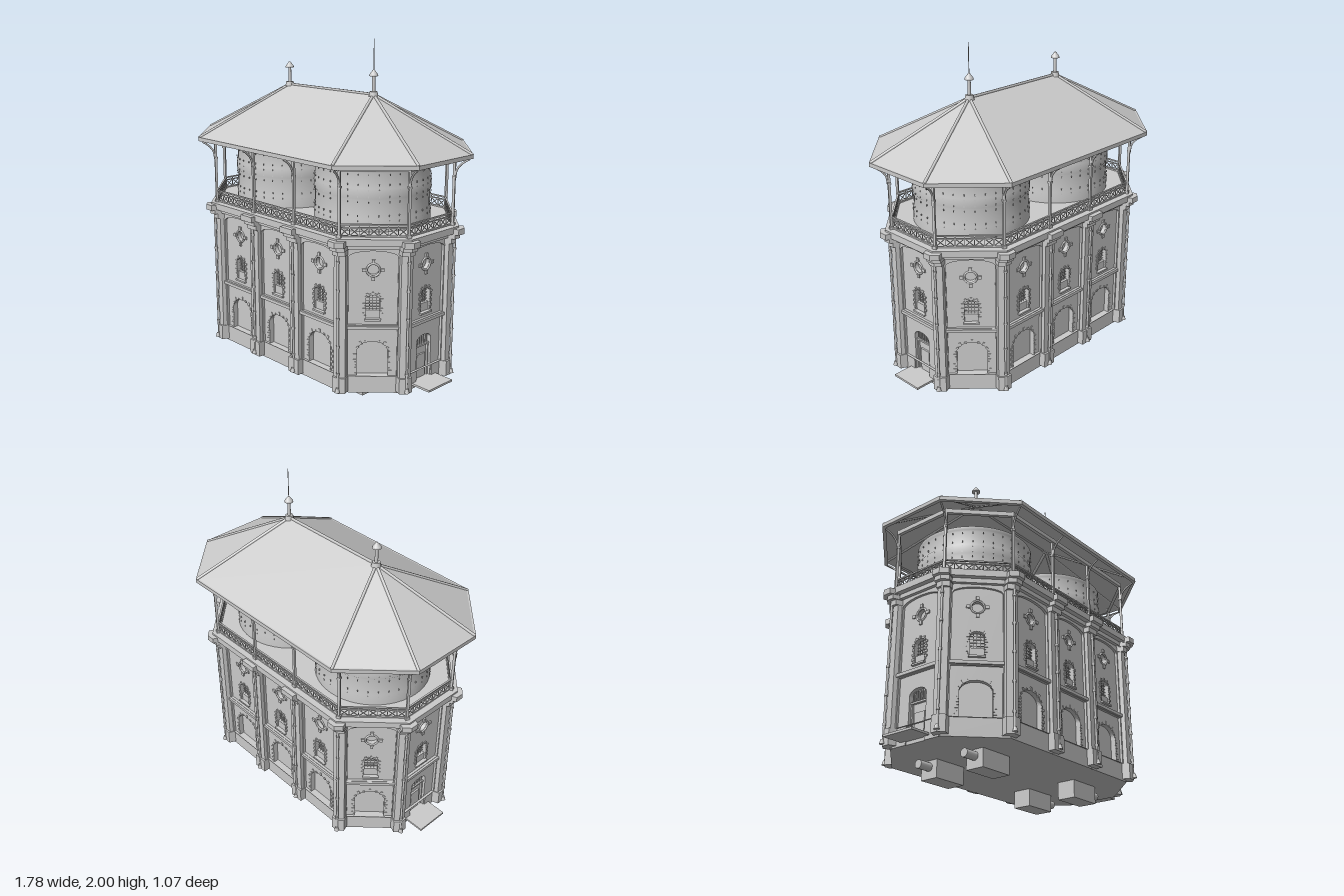
import * as THREE from 'three';
import { mergeGeometries } from 'three/addons/utils/BufferGeometryUtils.js';

const HALF = 0.352, BAY = 0.35, E = Math.PI / 8;
const grey = new THREE.MeshStandardMaterial({ color: 0xcccccc });
const thin = new THREE.MeshStandardMaterial({ color: 0xcccccc, side: THREE.DoubleSide });

const merge = (list) => mergeGeometries(list.map((g) => (g.index ? g.toNonIndexed() : g)));
const mesh = (name, geo, mat = grey) => {
  const m = new THREE.Mesh(Array.isArray(geo) ? merge(geo) : geo, mat);
  m.name = name;
  return m;
};
const box = (w, h, d, x, y, z) => new THREE.BoxGeometry(w, h, d).translate(x, y, z);
const cyl = (r0, r1, y0, y1, x, z, n = 12) =>
  new THREE.CylinderGeometry(r1, r0, y1 - y0, n).translate(x, (y0 + y1) / 2, z);
// flat bar between two points of a wall plane
const bar = (x0, y0, x1, y1, z, t) =>
  new THREE.BoxGeometry(Math.hypot(x1 - x0, y1 - y0), t, t)
    .rotateZ(Math.atan2(y1 - y0, x1 - x0)).translate((x0 + x1) / 2, (y0 + y1) / 2, z);
const extrude = (shape, depth) =>
  new THREE.ExtrudeGeometry(shape, { depth, bevelEnabled: false, curveSegments: 12 });
const upright = (shape, y0, y1) => extrude(shape, y1 - y0).rotateX(-Math.PI / 2).translate(0, y0, 0);
const rod = (a, b, r) => new THREE.TubeGeometry(new THREE.LineCurve3(a, b), 1, r, 6);

// stretched octagon, "a" is the distance of each face from its centre
const octagon = (a) => Array.from({ length: 8 }, (_, i) => {
  const p = E + i * 2 * E, r = a / Math.cos(E);
  return new THREE.Vector2((i < 4 ? HALF : -HALF) + r * Math.sin(p), r * Math.cos(p));
});
const slab = (a, y0, y1, hole) => {
  const s = new THREE.Shape(octagon(a));
  if (hole) s.holes.push(new THREE.Path(octagon(hole)));
  return upright(s, y0, y1);
};
const arched = (hw, y0, spring, rise, Kind = THREE.Path) => {
  const p = new Kind();
  p.moveTo(-hw, y0);
  p.lineTo(hw, y0);
  p.lineTo(hw, spring);
  p.absellipse(0, spring, hw, rise, 0, Math.PI, false);
  p.closePath();
  return p;
};
const rectangle = (hw, y0, y1) => new THREE.Shape(
  [[-hw, y0], [hw, y0], [hw, y1], [-hw, y1]].map((p) => new THREE.Vector2(...p)));

// alternating stones around an arched opening
function quoins(hw, y0, spring, rise, z, s) {
  const out = [], rows = Math.round((spring - y0) / (s * 1.2));
  for (let i = 0; i < rows; i++) for (const k of [-1, 1]) {
    const w = i % 2 ? s * 1.5 : s * 0.8;
    out.push(box(w, s, 0.012, k * (hw + w / 2), y0 + (i + 0.5) * (spring - y0) / rows, z));
  }
  for (let i = 0; i <= 6; i++) {
    const t = Math.PI * (0.08 + 0.14 * i);
    const len = i % 2 ? s * 1.5 : s * 0.8;
    out.push(new THREE.BoxGeometry(s * 0.9, len, 0.012).rotateZ((t - Math.PI / 2) * 0.6)
      .translate(hw * Math.cos(t), spring + rise * Math.sin(t) + len / 2, z));
  }
  return out;
}

function makeBay(isDoor) {
  const g = new THREE.Group();
  g.name = isDoor ? 'doorBay' : 'wallBay';
  // wall with openings, then the raised surround of the two panels
  const opening = isDoor ? [0.06, 0.13, 0.36, 0.035] : [0.085, 0.2, 0.345, 0.055];
  const wall = rectangle(0.166, 0.1, 0.97);
  wall.holes.push(arched(...opening), arched(0.037, 0.53, 0.65, 0.018),
    new THREE.Path().absarc(0, 0.81, 0.033, 0, Math.PI * 2));
  g.add(mesh('wall', extrude(wall, 0.03).translate(0, 0, 0.38)));
  const frame = rectangle(0.168, 0.2, 0.96);
  frame.holes.push(arched(0.133, 0.5, 0.885, 0.035), arched(0.133, 0.201, 0.475, 0.001));
  g.add(mesh('panelFrame', extrude(frame, 0.015).translate(0, 0, 0.41)));
  const trim = [box(0.28, 0.018, 0.035, 0, 0.488, 0.42)];
  if (!isDoor) trim.push(box(0.34, 0.1, 0.016, 0, 0.15, 0.41));
  else for (const k of [-1, 1]) trim.push(box(0.1, 0.1, 0.016, k * 0.115, 0.15, 0.41));
  g.add(mesh('stringCourseAndPlinth', trim));

  // round window with four keystones
  const eye = [new THREE.TorusGeometry(0.035, 0.006, 6, 24).translate(0, 0.81, 0.411)];
  for (let i = 0; i < 4; i++) {
    const t = i * Math.PI / 2;
    eye.push(new THREE.BoxGeometry(0.02, 0.018, 0.014).rotateZ(t)
      .translate(0.05 * Math.cos(t), 0.81 + 0.05 * Math.sin(t), 0.411));
  }
  g.add(mesh('roundWindow', eye));

  // barred window
  const win = [box(0.074, 0.05, 0.022, 0, 0.555, 0.392), box(0.09, 0.01, 0.022, 0, 0.528, 0.414)];
  for (let i = -1; i <= 1; i++) win.push(box(0.003, 0.085, 0.004, i * 0.018, 0.622, 0.39));
  for (let i = 0; i < 4; i++) win.push(box(0.072, 0.003, 0.004, 0, 0.595 + i * 0.018, 0.39));
  win.push(...quoins(0.037, 0.54, 0.65, 0.018, 0.409, 0.012));
  g.add(mesh('barredWindow', win));

  if (isDoor) {
    const d = [box(0.07, 0.14, 0.012, 0, 0.2, 0.386), box(0.12, 0.01, 0.016, 0, 0.325, 0.39),
      box(0.2, 0.012, 0.15, 0, 0.126, 0.465)];
    for (let i = -3; i <= 3; i++) d.push(box(0.004, 0.06, 0.008, i * 0.016, 0.356, 0.388));
    for (const k of [-1, 1]) d.push(box(0.008, 0.19, 0.012, k * 0.056, 0.225, 0.388));
    g.add(mesh('doorAndStep', d));
  } else {
    g.add(mesh('blindArchStones', quoins(0.085, 0.2, 0.345, 0.055, 0.408, 0.014)));
  }

  // lattice railing
  const rail = [box(0.36, 0.008, 0.01, 0, 1.068, 0.435), box(0.36, 0.006, 0.008, 0, 1.052, 0.435),
    box(0.36, 0.008, 0.01, 0, 1.005, 0.435)];
  const n = 7, w = 0.36 / n;
  for (let i = 0; i < n; i++) {
    const x = -0.18 + i * w;
    rail.push(bar(x, 1.007, x + w, 1.052, 0.435, 0.004), bar(x, 1.052, x + w, 1.007, 0.435, 0.004),
      bar(x, 1.007, x, 1.068, 0.435, 0.004));
  }
  g.add(mesh('railing', rail));
  return g;
}

// pilaster folded around a corner of half-angle "bend"
function makePillar(bend) {
  const g = new THREE.Group();
  g.name = 'pillar';
  const c = Math.cos(bend), s = Math.sin(bend);
  const piece = (ao, w, y0, y1) => {
    const o = ao / c, i = 0.39 / c;
    return upright(new THREE.Shape([[-w * c, o - w * s], [0, o], [w * c, o - w * s],
      [w * c, i - w * s], [0, i], [-w * c, i - w * s]].map(([x, z]) => new THREE.Vector2(x, -z))), y0, y1);
  };
  g.add(mesh('pilaster', [piece(0.458, 0.042, 0.11, 0.2), piece(0.447, 0.037, 0.2, 0.9),
    piece(0.462, 0.041, 0.9, 0.93), piece(0.482, 0.046, 0.93, 0.955), piece(0.503, 0.05, 0.955, 0.988)]));
  const pz = 0.455 / c;
  const pipe = [cyl(0.007, 0.007, 0.12, 0.93, 0, pz, 8), cyl(0.015, 0.008, 0.12, 0.145, 0, pz + 0.006, 8)];
  for (let i = 0; i < 5; i++) pipe.push(cyl(0.01, 0.01, 0.22 + i * 0.16, 0.232 + i * 0.16, 0, pz, 8));
  g.add(mesh('drainPipe', pipe));
  // roof post and curved eave bracket
  const q = 0.44 / c;
  const curve = new THREE.CatmullRomCurve3([[0.445, 1.27], [0.452, 1.31], [0.475, 1.345], [0.515, 1.375]]
    .map(([a, y]) => new THREE.Vector3(0, y, a / c)));
  g.add(mesh('roofPost', [box(0.014, 0.4, 0.014, 0, 1.185, q), box(0.024, 0.03, 0.024, 0, 1.0, q),
    box(0.02, 0.012, 0.02, 0, 1.27, q), new THREE.TubeGeometry(curve, 10, 0.006, 6)]));
  return g;
}

function makeTank(x) {
  const g = new THREE.Group();
  g.name = 'waterTank';
  const prof = [[0.333, 0.985], [0.333, 1.065], [0.326, 1.075], [0.326, 1.17], [0.333, 1.18],
    [0.333, 1.235], [0.326, 1.245], [0.326, 1.32], [0.333, 1.33], [0.333, 1.35]];
  g.add(mesh('tankShell', new THREE.LatheGeometry(prof.map((p) => new THREE.Vector2(...p)), 48), thin));
  g.add(mesh('tankLid', cyl(0.33, 0.33, 1.335, 1.345, 0, 0, 48)));
  const rivets = [];
  for (const y of [1.055, 1.085, 1.16, 1.19, 1.225, 1.255, 1.31])
    for (let i = 0; i < 36; i++)
      rivets.push(box(0.004, 0.009, 0.006, 0, y, 0.332).rotateY(i * Math.PI / 18));
  g.add(mesh('rivets', rivets));
  g.position.x = x;
  return g;
}

function makeRoof() {
  const g = new THREE.Group();
  g.name = 'roof';
  const P = octagon(0.53).map((p) => new THREE.Vector3(p.x, 1.4, p.y));
  const A = new THREE.Vector3(HALF, 1.695, 0), B = new THREE.Vector3(-HALF, 1.695, 0);
  const tris = [];
  P.forEach((p, i) => tris.push(p, P[(i + 1) % 8], i < 3 || i === 7 ? A : B));
  tris.push(P[3], B, A, P[7], A, B);
  const geo = new THREE.BufferGeometry().setFromPoints(tris);
  geo.computeVertexNormals();
  g.add(mesh('roofPanels', geo, thin));
  g.add(mesh('ridges', [rod(A, B, 0.009), ...P.map((p, i) => rod(p, i < 4 ? A : B, 0.009))]));
  g.add(mesh('eave', slab(0.535, 1.38, 1.403, 0.515)));
  g.add(mesh('ringBeam', slab(0.45, 1.355, 1.38, 0.43)));
  for (const x of [-HALF, HALF])
    g.add(mesh('finial', [cyl(0.028, 0.022, 1.685, 1.712, x, 0), cyl(0.01, 0.009, 1.7, 1.81, x, 0),
      cyl(0.026, 0.024, 1.797, 1.806, x, 0), cyl(0.024, 0.004, 1.806, 1.832, x, 0)]));
  g.add(mesh('lightningRod', cyl(0.0025, 0.002, 1.82, 2, HALF, 0, 6)));
  return g;
}

export function createModel() {
  const model = new THREE.Group();
  model.name = 'waterTower';
  const put = (part, x, angle) => {
    part.position.x = x;
    part.rotation.y = angle;
    model.add(part);
  };
  model.add(mesh('core', [slab(0.382, 0.1, 0.985), slab(0.413, 0.1, 0.115)]));
  model.add(mesh('cornice', [slab(0.445, 0.935, 0.96), slab(0.475, 0.96, 0.998)]));

  // long sides, then the three-sided ends
  for (const side of [0, Math.PI]) {
    for (const i of [-1, 0, 1]) put(makeBay(false), i * BAY, side);
    for (const k of [-1, 1]) put(makePillar(0), k * BAY / 2, side);
  }
  for (const k of [-1, 1]) {
    for (const i of [1, 2, 3]) put(makeBay(i === 2), k * HALF, k * i * Math.PI / 4);
    for (const i of [1, 3, 5, 7]) put(makePillar(E), k * HALF, k * i * E);
    model.add(makeTank(k * HALF));
    // pipe boxes under the floor
    for (const z of [-0.16, 0.16])
      model.add(mesh('pipeBox', [box(0.21, 0.102, 0.112, k * 0.393, 0.051, z),
        new THREE.CylinderGeometry(0.024, 0.024, 0.1, 16).rotateZ(Math.PI / 2).translate(k * 0.53, 0.065, z)]));
  }
  model.add(makeRoof());
  model.position.x = -0.008;
  const root = new THREE.Group();
  root.add(model);
  return root;
}
